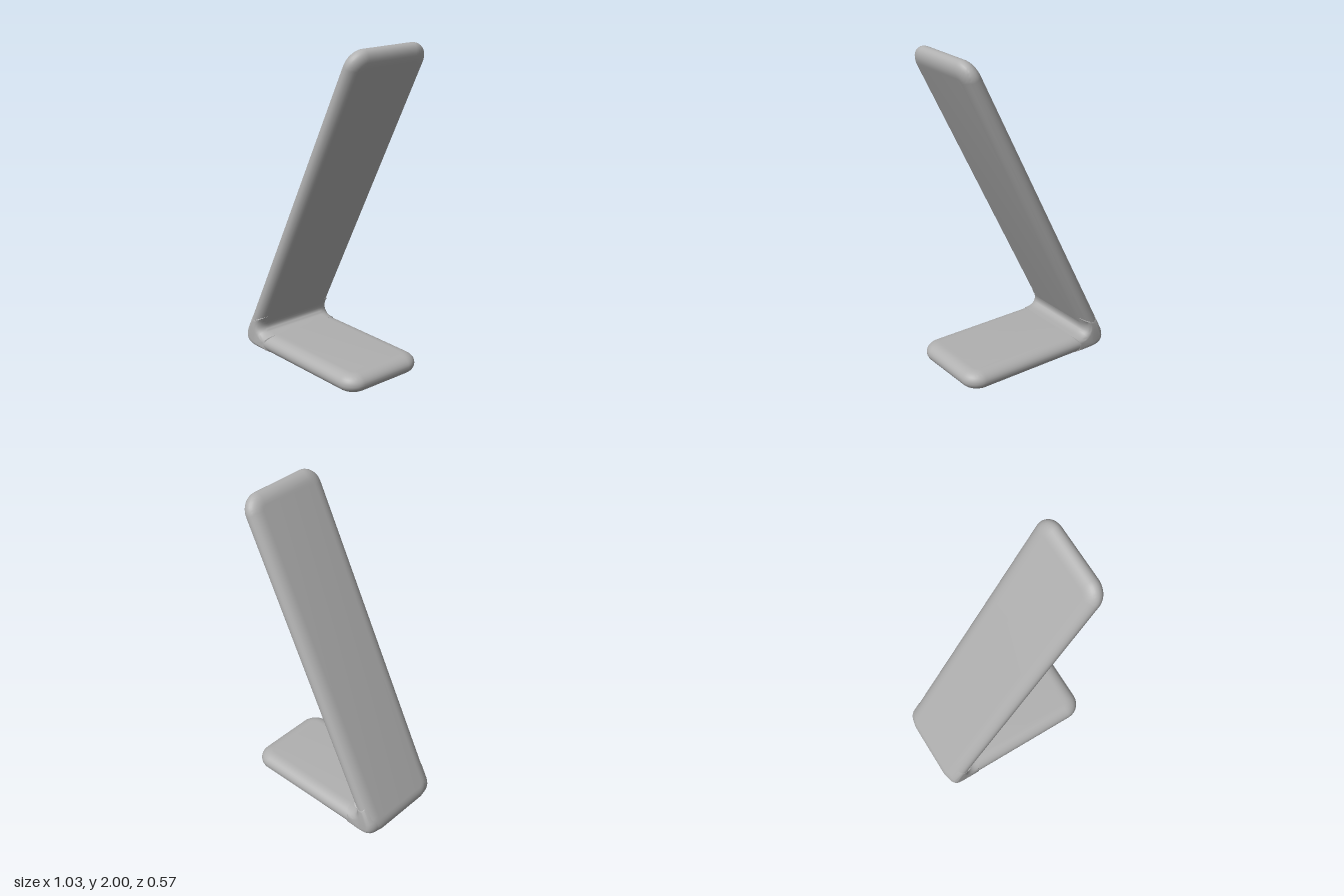
import * as THREE from 'three';
import { toCreasedNormals } from 'three/addons/utils/BufferGeometryUtils.js';

const HALF_WIDTH = 0.285;

// Flat slab with softly rounded edges, lying in XZ and centred on the origin.
function slabGeometry(length, thickness) {
  const bevel = 0.08, r = 0.03, t = thickness / 2;
  const a = length / 2 - bevel, b = HALF_WIDTH - bevel;
  const s = new THREE.Shape();
  s.absarc(a - r, b - r, r, 0, Math.PI / 2);
  s.absarc(-a + r, b - r, r, Math.PI / 2, Math.PI);
  s.absarc(-a + r, -b + r, r, Math.PI, Math.PI * 1.5);
  s.absarc(a - r, -b + r, r, Math.PI * 1.5, Math.PI * 2);
  const geo = new THREE.ExtrudeGeometry(s, {
    depth: 0.002, bevelSize: bevel, bevelThickness: t - 0.001, bevelSegments: 8, curveSegments: 8,
  });
  geo.translate(0, 0, -0.001).rotateX(-Math.PI / 2);
  return toCreasedNormals(geo, 0.7);
}

// Blended bend that joins the two slabs, with a small fillet on the inside.
function bendGeometry() {
  const s = new THREE.Shape();
  s.moveTo(-0.42, 0.002);
  s.lineTo(-0.28, 0.002);
  s.lineTo(-0.28, 0.119);
  s.lineTo(-0.31, 0.12);
  s.quadraticCurveTo(-0.385, 0.122, -0.355, 0.19);
  s.lineTo(-0.335, 0.23);
  s.lineTo(-0.452, 0.23);
  s.lineTo(-0.505, 0.125);
  s.bezierCurveTo(-0.53, 0.06, -0.505, 0.002, -0.42, 0.002);
  const side = 0.08, inset = 0.045;
  const depth = 2 * (HALF_WIDTH + 0.002 - side);
  const geo = new THREE.ExtrudeGeometry(s, {
    depth, bevelSize: inset, bevelOffset: -inset, bevelThickness: side, bevelSegments: 8, curveSegments: 8,
  });
  geo.translate(0, 0, -depth / 2);
  return toCreasedNormals(geo, 0.7);
}

export function createModel() {
  const model = new THREE.Group();
  model.name = 'angledStand';
  const grey = new THREE.MeshStandardMaterial({ color: 0xb0b0b0 });
  grey.name = 'grey';

  const add = (name, geometry) => {
    const mesh = new THREE.Mesh(geometry, grey);
    mesh.name = name;
    model.add(mesh);
    return mesh;
  };

  // Foot lying on the ground
  add('base', slabGeometry(1.01, 0.118)).position.set(0.005, 0.06, 0);

  // Leaning back rest, rising two units for every one sideways
  const low = new THREE.Vector2(-0.496, 0.028), high = new THREE.Vector2(0.489, 1.998);
  const back = add('backRest', slabGeometry(low.distanceTo(high), 0.108));
  back.position.set((low.x + high.x) / 2, (low.y + high.y) / 2, 0);
  back.rotation.z = Math.atan2(high.y - low.y, high.x - low.x);

  // Joint between them
  add('bend', bendGeometry());
  return model;
}
